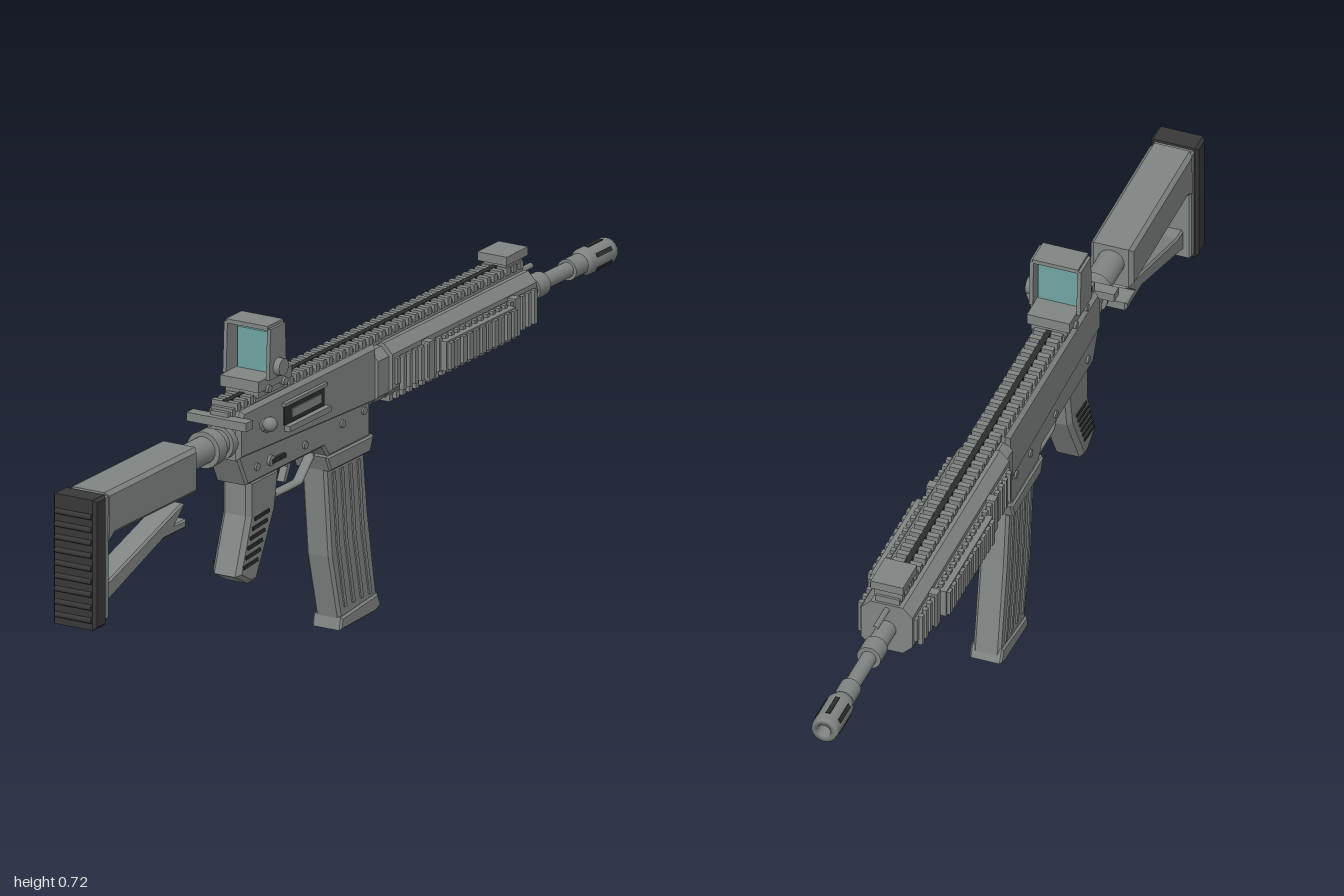
import * as THREE from 'three';

const CX = -0.01; // centre plane of the body
const mat = (name, color) => {
  const m = new THREE.MeshStandardMaterial({ color });
  m.name = name;
  return m;
};

export function createModel() {
  const model = new THREE.Group();
  model.name = 'rifle';
  const metal = mat('gunmetal', 0x808583);
  const rubber = mat('black rubber', 0x383838);
  const dark = mat('dark recess', 0x2c2d2d);
  const glass = mat('teal glass', 0x6fa3a3);

  const add = (name, geo, m = metal) => {
    const mesh = new THREE.Mesh(geo, m);
    mesh.name = name;
    model.add(mesh);
    return mesh;
  };
  // box given by its limits on each axis
  const box = (name, x0, x1, y0, y1, z0, z1, m = metal) => {
    const mesh = add(name, new THREE.BoxGeometry(x1 - x0, y1 - y0, z1 - z0), m);
    mesh.position.set((x0 + x1) / 2, (y0 + y1) / 2, (z0 + z1) / 2);
    return mesh;
  };
  // box centred on the body plane, half width w
  const cbox = (name, w, ...rest) => box(name, CX - w, CX + w, ...rest);
  // side outline of [z, y] points, extruded across x with chamfered edges
  const side = (name, pts, w, bevel = 0.005, m = metal, x = CX) => {
    const geo = new THREE.ExtrudeGeometry(new THREE.Shape(pts.map(p => new THREE.Vector2(...p))), {
      depth: 2 * (w - bevel), bevelEnabled: bevel > 0, bevelThickness: bevel,
      bevelSize: bevel, bevelOffset: -bevel, bevelSegments: 1,
    });
    geo.translate(0, 0, -(w - bevel)).rotateY(-Math.PI / 2).translate(x, 0, 0);
    return add(name, geo, m);
  };
  // front outline extruded along z
  const along = (name, pts, z0, z1) => {
    const geo = new THREE.ExtrudeGeometry(new THREE.Shape(pts.map(p => new THREE.Vector2(...p))),
      { depth: z1 - z0, bevelEnabled: false });
    return add(name, geo.translate(0, 0, z0));
  };
  const tubeZ = (name, r, y, z0, z1) => {
    const mesh = add(name, new THREE.CylinderGeometry(r, r, z1 - z0, 20).rotateX(Math.PI / 2));
    mesh.position.set(CX, y, (z0 + z1) / 2);
  };
  const discX = (name, r, x0, x1, y, z) => {
    const mesh = add(name, new THREE.CylinderGeometry(r, r, x1 - x0, 16).rotateZ(Math.PI / 2));
    mesh.position.set((x0 + x1) / 2, y, z);
  };
  const rod = (name, a, b, r) => add(name, new THREE.TubeGeometry(
    new THREE.LineCurve3(new THREE.Vector3(...a), new THREE.Vector3(...b)), 1, r, 10));

  // Stock: ribbed pad, end plate, body and diagonal strut
  side('buttPad', [[0.95, 0.265], [0.994, 0.265], [0.994, 0.535], [0.95, 0.535]], 0.05, 0.006, rubber);
  for (let i = 0; i < 9; i++) {
    const rib = add('padRib', new THREE.CylinderGeometry(0.006, 0.006, 0.084, 8).rotateZ(Math.PI / 2), rubber);
    rib.position.set(CX, 0.285 + i * 0.0268, 0.994);
  }
  side('stockPlate', [[0.93, 0.275], [0.952, 0.27], [0.952, 0.53], [0.93, 0.53]], 0.043, 0.004);
  side('stockBody', [[0.6, 0.442], [0.91, 0.442], [0.94, 0.425], [0.94, 0.535], [0.6, 0.535]], 0.045, 0.008);
  side('stockStrut', [[0.94, 0.29], [0.94, 0.34], [0.9, 0.342], [0.63, 0.425], [0.62, 0.42], [0.66, 0.388],
    [0.615, 0.388], [0.615, 0.37], [0.7, 0.37]], 0.027, 0.004);

  // Stock tube and collars
  tubeZ('stockTube', 0.028, 0.497, 0.42, 0.61);
  tubeZ('stockTubeCollar', 0.038, 0.497, 0.48, 0.51);
  tubeZ('stockTubeNut', 0.036, 0.497, 0.43, 0.455);

  // Receiver halves and magazine well
  side('upperReceiver', [[0.44, 0.46], [0.44, 0.535], [0.425, 0.56], [-0.075, 0.56], [-0.075, 0.44]], 0.04, 0.008);
  side('lowerReceiver', [[0.44, 0.47], [0.405, 0.4], [0.12, 0.4], [0.1, 0.375], [-0.055, 0.375], [-0.055, 0.47]], 0.037);
  side('magazineWell', [[0.115, 0.378], [0.1, 0.345], [-0.05, 0.345], [-0.062, 0.378]], 0.042, 0.004);
  box('ejectionPort', 0.026, 0.033, 0.49, 0.532, 0.125, 0.275, dark);
  box('portCover', 0.03, 0.042, 0.476, 0.488, 0.115, 0.27);
  box('portBolt', 0.03, 0.036, 0.5, 0.518, 0.14, 0.25);
  box('portLip', 0.03, 0.038, 0.53, 0.537, 0.12, 0.28);
  for (const [y, z] of [[0.43, 0.37], [0.43, 0.05], [0.435, -0.03], [0.425, 0.19]])
    discX('receiverPin', 0.008, CX - 0.041, CX + 0.041, y, z);
  discX('selector', 0.011, 0.024, 0.033, 0.43, 0.32);
  box('selectorLever', 0.026, 0.034, 0.423, 0.432, 0.27, 0.32, dark);
  rod('boltHandle', [0.02, 0.507, 0.335], [0.065, 0.526, 0.39], 0.011);
  rod('boltKnob', [0.05, 0.52, 0.37], [0.08, 0.537, 0.405], 0.015);
  const cap = add('boltKnobCap', new THREE.SphereGeometry(0.015, 12, 8));
  cap.position.set(0.08, 0.537, 0.405);
  box('chargingHandle', -0.078, 0.06, 0.533, 0.551, 0.437, 0.463);
  cbox('chargingHandleStem', 0.02, 0.54, 0.56, 0.4, 0.45);

  // Pistol grip with slotted sides
  side('pistolGrip', [[0.39, 0.405], [0.275, 0.405], [0.29, 0.32], [0.36, 0.19], [0.385, 0.19], [0.43, 0.215],
    [0.39, 0.33]], 0.033, 0.009);
  for (let i = 0; i < 6; i++) for (const s of [-1, 1]) {
    const z = 0.345 + i * 0.0085;
    const slot = box('gripSlot', CX + s * 0.033 - 0.003, CX + s * 0.033 + 0.003,
      0.32 - i * 0.018, 0.327 - i * 0.018, z - 0.027, z + 0.027, dark);
    slot.rotation.x = 0.08;
  }

  // Trigger and its guard
  const guard = [[0.395, 0.278], [0.345, 0.262], [0.333, 0.25], [0.333, 0.16], [0.345, 0.145], [0.378, 0.11]]
    .map(([y, z]) => new THREE.Vector3(0, y, z));
  const guardPath = new THREE.CatmullRomCurve3(guard, false, 'catmullrom', 0.1);
  add('triggerGuard', new THREE.TubeGeometry(guardPath, 40, 0.006, 8).scale(2, 1, 1).translate(CX, 0, 0));
  side('trigger', [[0.235, 0.41], [0.215, 0.41], [0.208, 0.38], [0.222, 0.352], [0.212, 0.35], [0.196, 0.38],
    [0.2, 0.41]], 0.008, 0);

  // Curved magazine, side ribs and base
  side('magazine', [[0.1, 0.36], [-0.045, 0.36], [-0.062, 0.22], [-0.096, 0.025], [0.042, 0.01], [0.08, 0.16]], 0.029, 0.006);
  for (const s of [-1, 1]) for (let i = 0; i < 4; i++) {
    const o = i * 0.031;
    side('magazineRib', [[0.076 - o, 0.335], [0.066 - o, 0.335], [0.05 - o, 0.18], [0.022 - o, 0.045],
      [0.032 - o, 0.045], [0.06 - o, 0.18]], 0.003, 0, metal, CX + s * 0.029);
  }
  side('magazineBase', [[0.05, 0.0], [0.045, 0.026], [-0.09, 0.04], [-0.102, 0.012], [-0.08, 0.004]], 0.034, 0.004);

  // Handguard: eight-sided core with a nut behind it
  const octagon = (w, y0, y1, c) => [[CX - w + c, y0], [CX + w - c, y0], [CX + w, y0 + c], [CX + w, y1 - c],
    [CX + w - c, y1], [CX - w + c, y1], [CX - w, y1 - c], [CX - w, y0 + c]];
  along('handguard', octagon(0.054, 0.44, 0.552, 0.02), -0.65, -0.11);
  along('handguardNut', octagon(0.046, 0.435, 0.545, 0.018), -0.115, -0.07);
  for (const s of [-1, 1]) {
    const plate = (name, a, b, ...r) => box(name, Math.min(CX + s * a, CX + s * b), Math.max(CX + s * a, CX + s * b), ...r);
    plate('sideRail', 0.05, 0.06, 0.468, 0.522, -0.64, -0.12);
    for (let i = 0; i < 23; i++) {
      const z = -0.63 + i * 0.0222;
      plate('sideRailTooth', 0.058, 0.068, 0.455, 0.525, z, z + 0.011);
    }
    plate('sidePanel', 0.055, 0.08, 0.457, 0.518, -0.53, -0.27);
    for (let i = 0; i < 11; i++) {
      const z = -0.526 + i * 0.0235;
      plate('panelRib', 0.078, 0.087, 0.46, 0.515, z, z + 0.015);
    }
    for (const z of [-0.56, -0.24]) plate('panelEnd', 0.05, 0.072, 0.45, 0.53, z, z + 0.02);
  }
  // Lower and upper rails
  cbox('lowerRail', 0.024, 0.432, 0.445, -0.63, -0.13);
  for (let i = 0; i < 20; i++) cbox('lowerRailTooth', 0.031, 0.422, 0.436, -0.615 + i * 0.0245, -0.603 + i * 0.0245);
  cbox('upperRail', 0.025, 0.55, 0.566, -0.645, 0.44);
  for (let i = 0; i < 44; i++) cbox('upperRailTooth', 0.03, 0.56, 0.576, -0.64 + i * 0.0246, -0.627 + i * 0.0246);
  cbox('railGroove', 0.006, 0.569, 0.577, -0.58, 0.43, dark);

  // Folded front sight
  cbox('frontSightBase', 0.026, 0.57, 0.586, -0.64, -0.58);
  cbox('frontSight', 0.034, 0.584, 0.602, -0.65, -0.57);
  rod('gasTube', [CX, 0.539, -0.64], [CX, 0.539, -0.715], 0.006);

  // Barrel and muzzle device with dark slots
  tubeZ('barrel', 0.016, 0.492, -0.92, -0.64);
  tubeZ('barrelCollar', 0.025, 0.492, -0.75, -0.71);
  tubeZ('barrelSleeve', 0.02, 0.492, -0.71, -0.64);
  tubeZ('muzzleNut', 0.022, 0.492, -0.9, -0.85);
  const profile = [[0.014, 0.895], [0.022, 0.895], [0.028, 0.91], [0.028, 0.99], [0.026, 1], [0.014, 1], [0.014, 0.93]]
    .map(p => new THREE.Vector2(...p));
  const muzzle = add('muzzleDevice', new THREE.LatheGeometry(profile, 20).rotateX(-Math.PI / 2));
  muzzle.position.set(CX, 0.492, 0);
  const bore = add('bore', new THREE.CircleGeometry(0.0145, 16).rotateY(Math.PI), dark);
  bore.position.set(CX, 0.492, -0.94);
  for (let i = 0; i < 6; i++) {
    const a = i * Math.PI / 3;
    const slot = add('muzzleSlot', new THREE.BoxGeometry(0.009, 0.006, 0.055), dark);
    slot.position.set(CX + Math.sin(a) * 0.0262, 0.492 + Math.cos(a) * 0.0262, -0.95);
    slot.rotation.z = -a;
  }

  // Reflex sight: mount, hood frame, lens and knobs
  cbox('sightClamp', 0.034, 0.562, 0.572, 0.25, 0.37);
  cbox('sightMount', 0.038, 0.57, 0.59, 0.255, 0.365);
  cbox('sightBase', 0.045, 0.585, 0.608, 0.25, 0.375);
  for (const z of [0.28, 0.34]) discX('clampScrew', 0.008, CX - 0.05, CX + 0.05, 0.585, z);
  for (const s of [-1, 1])
    side('hoodSide', [[0.35, 0.605], [0.285, 0.605], [0.29, 0.71], [0.345, 0.71]], 0.004, 0, metal, CX + s * 0.05);
  cbox('hoodTop', 0.048, 0.707, 0.716, 0.288, 0.347);
  cbox('lens', 0.043, 0.605, 0.692, 0.308, 0.313, glass);
  discX('sightKnob', 0.018, 0.04, 0.058, 0.627, 0.318);

  return model;
}
